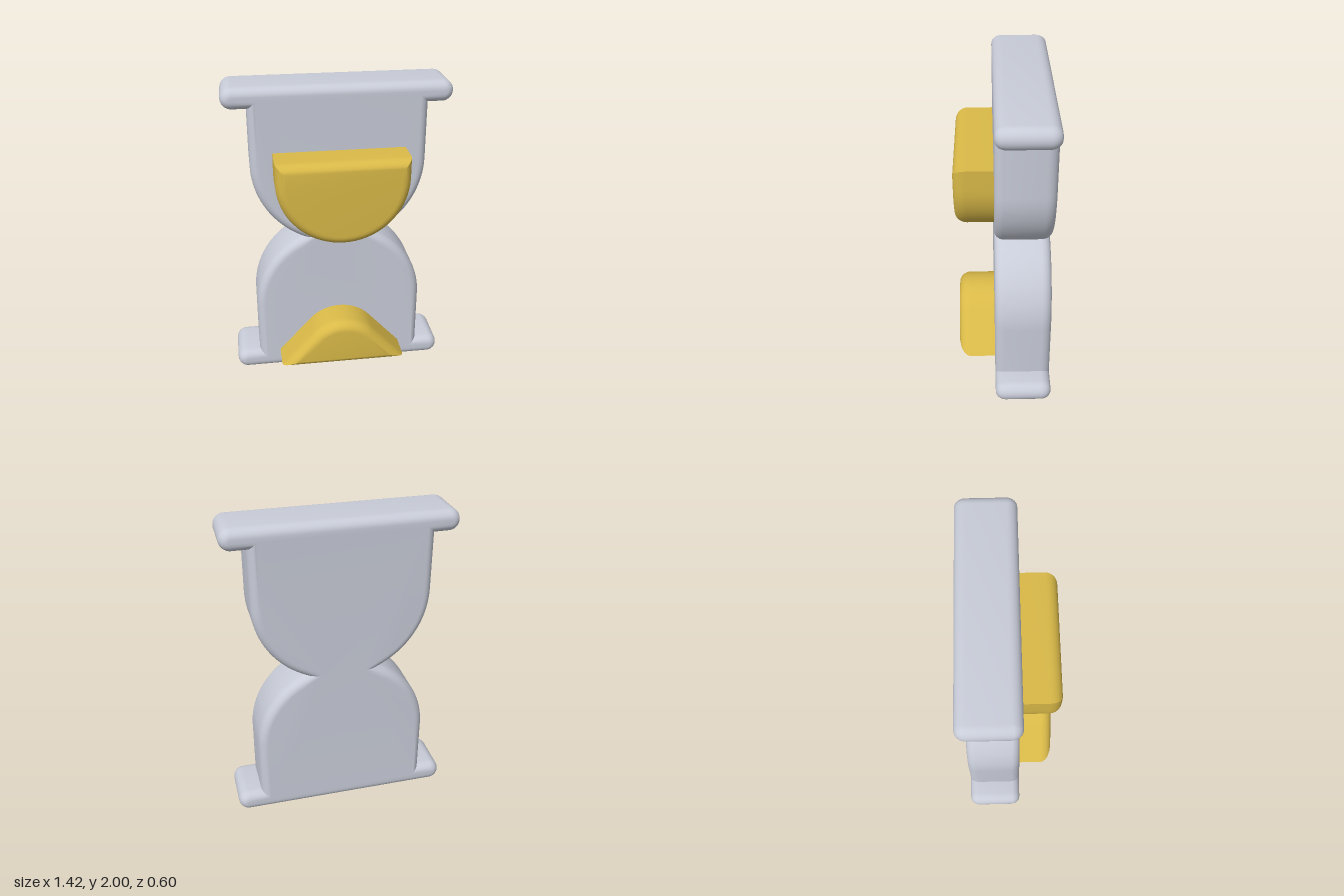
import * as THREE from 'three';
import { toCreasedNormals } from 'three/addons/utils/BufferGeometryUtils.js';

const V = (x, y) => new THREE.Vector2(x, y);

// Points along an arc, angles in degrees
function arc(cx, cy, r, from, to, n) {
  return Array.from({ length: n + 1 }, (_, i) => {
    const a = THREE.MathUtils.degToRad(from + ((to - from) * i) / n);
    return V(cx + r * Math.cos(a), cy + r * Math.sin(a));
  });
}

// Inward mitre direction at each corner of a counter-clockwise outline
function mitres(pts) {
  const n = pts.length;
  const inward = (a, b) => {
    const d = b.clone().sub(a).normalize();
    return V(-d.y, d.x);
  };
  return pts.map((p, i) => {
    const n1 = inward(pts[(i + n - 1) % n], p);
    const n2 = inward(p, pts[(i + 1) % n]);
    const k = 1 + n1.dot(n2);
    return n1.add(n2).divideScalar(k);
  });
}

// Outline extruded from z0 to z1 with rounded, mitred edges
function roundedSlab(pts, z0, z1, size, depth, roundBack) {
  const dirs = mitres(pts), n = pts.length, steps = 7;
  const rings = [];
  for (let i = 0; i <= steps; i++) {
    const a = (i / steps) * Math.PI / 2;
    rings.push([size * (1 - Math.cos(a)), z1 - depth + depth * Math.sin(a)]);
  }
  if (roundBack) {
    const back = rings.map(([inset, z]) => [inset, z0 + z1 - z]);
    rings.unshift(...back.reverse());
  } else rings.unshift([0, z0]);

  const pos = [], idx = [];
  for (const [inset, z] of rings)
    pts.forEach((p, i) => pos.push(p.x + dirs[i].x * inset, p.y + dirs[i].y * inset, z));
  for (let r = 0; r < rings.length - 1; r++)
    for (let i = 0; i < n; i++) {
      const j = (i + 1) % n, a = r * n, b = a + n;
      idx.push(a + i, a + j, b + j, a + i, b + j, b + i);
    }
  // Flat front and back faces
  const face = (ring, flip) => {
    const inset = rings[ring][0], o = ring * n;
    const contour = pts.map((p, i) => p.clone().addScaledVector(dirs[i], inset));
    for (const [a, b, c] of THREE.ShapeUtils.triangulateShape(contour, []))
      idx.push(o + a, o + (flip ? c : b), o + (flip ? b : c));
  };
  face(0, true);
  face(rings.length - 1, false);

  const geo = new THREE.BufferGeometry();
  geo.setAttribute('position', new THREE.Float32BufferAttribute(pos, 3));
  geo.setIndex(idx);
  return toCreasedNormals(geo, 0.55);
}

export function createModel() {
  const glassGrey = new THREE.MeshStandardMaterial({ color: 0xc8ccd8 });
  glassGrey.name = 'glassGrey';
  const sandGold = new THREE.MeshStandardMaterial({ color: 0xd9b948 });
  sandGold.name = 'sandGold';

  const group = new THREE.Group();
  group.name = 'hourglass';
  const add = (name, geo, mat) => {
    const mesh = new THREE.Mesh(geo, mat);
    mesh.name = name;
    group.add(mesh);
  };

  // Frame: one quarter of the outline, mirrored up and across
  const waist = THREE.MathUtils.radToDeg(Math.asin(0.5 / 0.555));
  const quarter = [
    ...arc(0.6425, 0.0675, 0.0675, -90, 90, 14),
    V(0.555, 0.135),
    ...arc(0, 0.5, 0.555, 0, waist, 20),
  ];
  const upper = quarter.slice(0, -1).reverse().map((p) => V(p.x, 2 - p.y));
  const half = [...quarter, ...upper];
  const outline = [...half, ...half.slice().reverse().map((p) => V(-p.x, p.y))];
  add('frame', roundedSlab(outline, -0.3, 0.06, 0.054, 0.065, true), glassGrey);

  // Sand still in the upper bulb
  const bowl = [V(0.415, 1.595), V(-0.415, 1.595), ...arc(0, 1.465, 0.415, 180, 360, 36)];
  add('upperSand', roundedSlab(bowl, 0.04, 0.3, 0.06, 0.075, false), sandGold);

  // Heap in the lower bulb
  const heap = [V(-0.415, 0.145), V(0.415, 0.145), ...arc(0, 0.2, 0.27, 42, 138, 20)];
  add('sandHeap', roundedSlab(heap, 0.04, 0.3, 0.06, 0.075, false), sandGold);

  return group;
}
